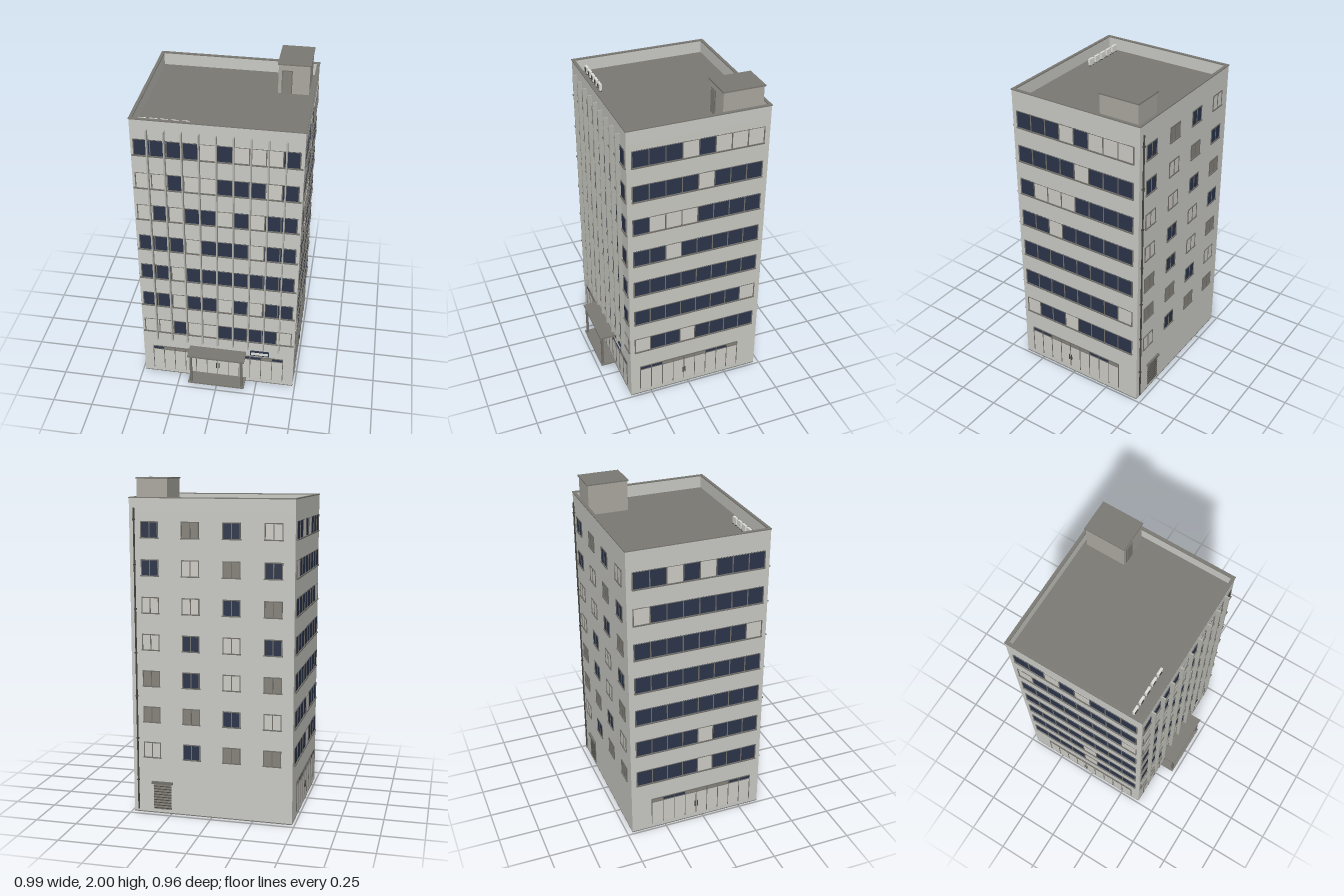
import * as THREE from 'three';

const mat = (name, color) => {
  const m = new THREE.MeshStandardMaterial({ color });
  m.name = name;
  return m;
};
const M = {
  wall: mat('wall plaster', 0xc9c9c4),
  roof: mat('roof felt', 0x7b7973),
  glass: mat('navy glass', 0x2b3449),
  blind: mat('pale blind', 0xcdccc6),
  shade: mat('grey shade', 0x86837b),
  frame: mat('window frame', 0x72706a),
  fin: mat('facade fin', 0xb2b2ab),
  hut: mat('roof hut', 0xaba8a0),
  dark: mat('dark metal', 0x474641),
  white: mat('white casing', 0xdededa),
};
const PANE = { D: M.glass, L: M.blind, G: M.shade };

// building limits
const X = 0.485, ZF = 0.383, ZB = -0.467, DECK = 1.81, TOP = 1.89;
const ZC = (ZF + ZB) / 2, DEPTH = ZF - ZB;
const ROW0 = 0.35, ROW_STEP = 0.2185, WIN_H = 0.103;

// box given by its limits on each axis
function box(parent, name, material, x0, x1, y0, y1, z0, z1) {
  const mesh = new THREE.Mesh(new THREE.BoxGeometry(x1 - x0, y1 - y0, z1 - z0), material);
  mesh.position.set((x0 + x1) / 2, (y0 + y1) / 2, (z0 + z1) / 2);
  mesh.name = name;
  parent.add(mesh);
  return mesh;
}

// a facade group: local x runs right along the wall, local z points outwards
function facade(parent, name, x, z, turn) {
  const g = new THREE.Group();
  g.name = name;
  g.position.set(x, 0, z);
  g.rotation.y = turn;
  parent.add(g);
  return g;
}

// window bands, rows listed from the top floor down
function windowBands(g, rows, u0, u1, sill0, sill1) {
  rows.forEach((row, r) => {
    const y = ROW0 + (rows.length - 1 - r) * ROW_STEP;
    const step = (u1 - u0) / row.length;
    [...row].forEach((c, i) => {
      const a = u0 + i * step;
      box(g, 'windowPane', PANE[c], a, a + step, y, y + WIN_H, -0.004, 0.002);
    });
    for (let i = 0; i <= row.length; i++) {
      const a = u0 + i * step;
      box(g, 'windowMullion', M.frame, a - 0.003, a + 0.003, y, y + WIN_H, 0, 0.005);
    }
    box(g, 'windowHead', M.frame, u0, u1, y + WIN_H - 0.003, y + WIN_H, 0, 0.004);
    box(g, 'windowSill', M.frame, sill0, sill1, y - 0.005, y + 0.002, 0, 0.009);
  });
}

// glazed ground floor with a coloured transom over each panel
function storefront(g, transoms, u0, u1) {
  const step = (u1 - u0) / transoms.length;
  box(g, 'shopPanels', M.blind, u0, u1, 0.035, 0.2, -0.004, 0.002);
  [...transoms].forEach((c, i) => {
    const a = u0 + i * step;
    box(g, 'shopTransom', PANE[c], a, a + step, 0.2, 0.223, -0.004, 0.002);
  });
  for (let i = 0; i <= transoms.length; i++) {
    const a = u0 + i * step;
    box(g, 'shopMullion', M.frame, a - 0.002, a + 0.002, 0.035, 0.223, 0, 0.005);
  }
  for (const y of [0.198, 0.222]) box(g, 'shopRail', M.frame, u0, u1, y - 0.002, y + 0.002, 0, 0.005);
  const mid = u0 + step * Math.floor(transoms.length / 2);
  for (const s of [-1, 1]) box(g, 'doorHandle', M.dark, mid + s * 0.008 - 0.002, mid + s * 0.008 + 0.002, 0.09, 0.13, 0, 0.009);
}

// rectangular ring lying flat, for parapet and coping
function ring(parent, name, material, grow, inset, y0, y1) {
  const hx = X + grow, hz = DEPTH / 2 + grow, ix = X - inset, iz = DEPTH / 2 - inset;
  const s = new THREE.Shape([[-hx, -hz], [hx, -hz], [hx, hz], [-hx, hz]].map(p => new THREE.Vector2(...p)));
  s.holes.push(new THREE.Path([[-ix, -iz], [-ix, iz], [ix, iz], [ix, -iz]].map(p => new THREE.Vector2(...p))));
  const mesh = new THREE.Mesh(new THREE.ExtrudeGeometry(s, { depth: y1 - y0, bevelEnabled: false }), material);
  mesh.rotation.x = -Math.PI / 2;
  mesh.position.set(0, y0, ZC);
  mesh.name = name;
  parent.add(mesh);
}

export function createModel() {
  const model = new THREE.Group();
  model.name = 'officeBuilding';

  // main block, roof deck and parapet
  box(model, 'groundSlab', M.roof, -X, X, 0, 0.006, ZB, ZF);
  box(model, 'mainBlock', M.wall, -X, X, 0.006, DECK - 0.004, ZB, ZF);
  box(model, 'roofDeck', M.roof, -X + 0.01, X - 0.01, DECK - 0.004, DECK, ZB + 0.01, ZF - 0.01);
  ring(model, 'parapet', M.wall, 0, 0.014, DECK - 0.004, TOP - 0.006);
  ring(model, 'parapetCoping', M.roof, 0.003, 0.016, TOP - 0.006, TOP);

  // front
  const front = facade(model, 'frontFacade', 0, ZF, 0);
  windowBands(front, ['DDDDLDLLLD', 'LLDLLDDDLD', 'LDLDDLDLDD', 'DDDLDDDLDD', 'DDLDDDDDDD', 'DDLDDLDLDD', 'LLDLLDDDDL'],
    -0.467, 0.463, -0.48, 0.48);
  storefront(front, 'DGGGDDDDDDGD', -0.423, 0.417);
  for (let i = -4; i <= 4; i++) box(front, 'facadeFin', M.fin, i * 0.097 - 0.004, i * 0.097 + 0.004, 0.3, 1.83, 0, 0.027);

  // entrance canopy, posts and step
  box(front, 'entranceCanopy', M.roof, -0.183, 0.181, 0.242, 0.255, 0, 0.097);
  box(front, 'entranceStep', M.roof, -0.183, 0.181, 0.018, 0.029, 0, 0.097);
  for (const s of [-1, 1]) {
    box(front, 'canopyPost', M.frame, s * 0.163 - 0.007, s * 0.163 + 0.007, 0.029, 0.242, 0.076, 0.09);
    box(front, 'canopyBeam', M.frame, s * 0.163 - 0.005, s * 0.163 + 0.005, 0.23, 0.242, 0, 0.08);
  }

  // blank sign
  box(front, 'signBoard', M.glass, 0.208, 0.328, 0.238, 0.273, 0, 0.01);
  box(front, 'signPlate', M.white, 0.215, 0.321, 0.246, 0.265, 0.01, 0.012);

  // two long sides
  const left = facade(model, 'leftFacade', X, 0, Math.PI / 2);
  windowBands(left, ['DDDLDLLL', 'DDDDLDDD', 'DLLLDDDD', 'DDLDDDDD', 'DDDDDDDD', 'DDDDDDDL', 'LDDLDDDD'],
    -0.352, 0.431, -0.356, 0.435);
  storefront(left, 'DDGGGGDDG', -0.322, 0.338);
  const right = facade(model, 'rightFacade', -X, 0, -Math.PI / 2);
  windowBands(right, ['DDLDLDDD', 'LDDDDDDD', 'DDDDDDDL', 'DDDDDDDD', 'DDDDDDDD', 'DDDDLDDD', 'DDDDLDDD'],
    -0.431, 0.352, -0.435, 0.356);
  storefront(right, 'GDDGGGGDD', -0.338, 0.322);

  // back: single two-pane windows
  const back = facade(model, 'backFacade', 0, ZB, Math.PI);
  ['DGDL', 'DLGD', 'LLDG', 'LDLD', 'GDLG', 'GGDL', 'LDGG'].forEach((row, r) => {
    const y = ROW0 + (6 - r) * ROW_STEP, h = 0.09;
    [...row].forEach((c, i) => {
      const u = -0.365 + i * 0.243;
      box(back, 'backPane', PANE[c], u - 0.05, u + 0.05, y, y + h, -0.004, 0.002);
      for (const d of [-0.05, 0, 0.05]) box(back, 'backFrame', M.frame, u + d - 0.003, u + d + 0.003, y, y + h, 0, 0.004);
      box(back, 'backHead', M.frame, u - 0.053, u + 0.053, y + h - 0.003, y + h + 0.003, 0, 0.004);
      box(back, 'backSill', M.frame, u - 0.056, u + 0.056, y - 0.006, y + 0.001, 0, 0.007);
    });
  });

  // louvred vent with hood
  box(back, 'ventPanel', M.shade, -0.36, -0.25, 0.025, 0.185, -0.004, 0.003);
  for (let i = 0; i < 9; i++) {
    const y = 0.032 + i * 0.017;
    box(back, 'ventSlat', M.dark, -0.36, -0.25, y, y + 0.004, 0, 0.006);
  }
  box(back, 'ventHood', M.frame, -0.37, -0.24, 0.185, 0.2, 0, 0.014);

  // rain pipe and its brackets
  const pipe = new THREE.Mesh(new THREE.CylinderGeometry(0.005, 0.005, 1.81, 10), M.dark);
  pipe.name = 'rainPipe';
  pipe.position.set(-0.455, 0.925, 0.007);
  back.add(pipe);
  for (let i = 0; i < 7; i++) box(back, 'pipeBracket', M.dark, -0.462, -0.448, 0.2 + i * 0.26, 0.208 + i * 0.26, 0, 0.013);

  // stair hut on the roof
  box(model, 'roofHut', M.hut, 0.266, 0.449, DECK, 1.992, -0.433, -0.19);
  box(model, 'hutCap', M.roof, 0.26, 0.455, 1.992, 2, -0.439, -0.184);
  box(model, 'hutDoorFrame', M.frame, 0.286, 0.348, DECK, 1.957, -0.19, -0.187);
  box(model, 'hutDoor', M.shade, 0.291, 0.343, DECK, 1.952, -0.187, -0.185);

  // row of cooling units behind the front parapet
  for (let i = 0; i < 5; i++) {
    const x = -0.427 + i * 0.0612;
    box(model, 'coolingUnit', M.white, x - 0.022, x + 0.022, DECK + 0.006, DECK + 0.046, 0.301, 0.315);
    box(model, 'coolingGrille', M.dark, x - 0.016, x + 0.006, DECK + 0.013, DECK + 0.037, 0.315, 0.317);
    for (const s of [-1, 1]) box(model, 'coolingFoot', M.dark, x + s * 0.016 - 0.003, x + s * 0.016 + 0.003, DECK, DECK + 0.006, 0.3, 0.316);
  }
  return model;
}
